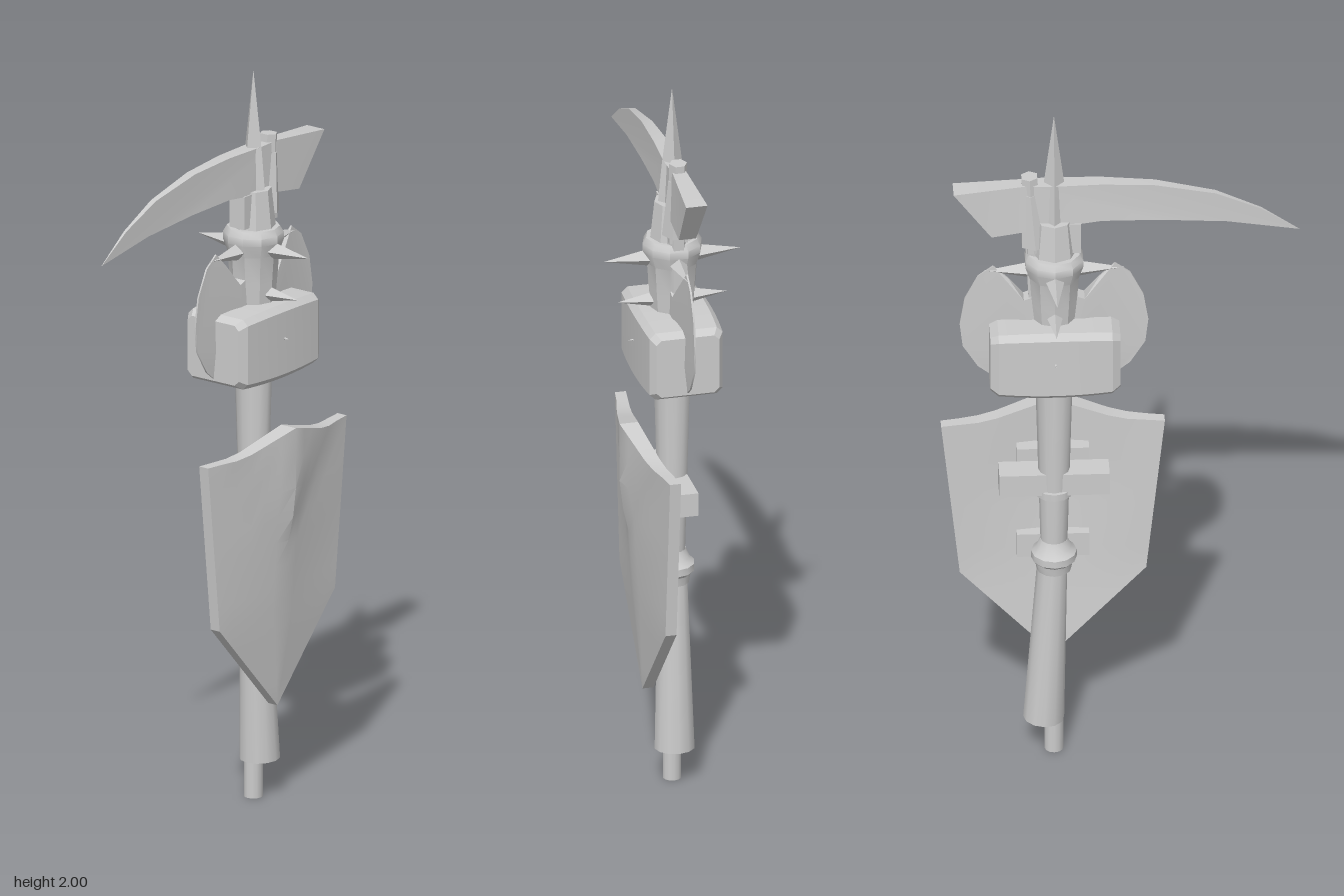
import * as THREE from 'three';
import { toCreasedNormals } from 'three/addons/utils/BufferGeometryUtils.js';

const AX = 0.175; // x of the common shaft axis

export function createModel() {
  const model = new THREE.Group();
  const mat = new THREE.MeshStandardMaterial({ color: 0xcccccc });

  function add(name, geo, x = 0, y = 0, z = 0, crease = 0.6) {
    const mesh = new THREE.Mesh(toCreasedNormals(geo, crease), mat);
    mesh.name = name;
    mesh.position.set(x, y, z);
    model.add(mesh);
    return mesh;
  }
  // Move every vertex of a geometry by a rule
  function warp(geo, rule) {
    const p = geo.attributes.position, v = new THREE.Vector3();
    for (let i = 0; i < p.count; i++) {
      v.fromBufferAttribute(p, i);
      rule(v);
      p.setXYZ(i, v.x, v.y, v.z);
    }
    geo.computeVertexNormals();
    return geo;
  }
  // Tapered rod between two points
  function rod(name, a, b, ra, rb, sides = 12) {
    const from = new THREE.Vector3(...a), dir = new THREE.Vector3(...b).sub(from);
    const mesh = add(name, new THREE.CylinderGeometry(rb, ra, dir.length(), sides));
    mesh.position.copy(from).addScaledVector(dir, 0.5);
    mesh.quaternion.setFromUnitVectors(new THREE.Vector3(0, 1, 0), dir.normalize());
    return mesh;
  }
  const lathe = (pts, sides) =>
    new THREE.LatheGeometry(pts.map(([r, y]) => new THREE.Vector2(r, y)), sides);
  const outline = pts => new THREE.Shape(pts.map(([x, y]) => new THREE.Vector2(x, y)));

  // Shafts, grip and collar
  rod('coreShaft', [AX, 0, 0], [AX, 1.65, 0], 0.025, 0.025);
  rod('grip', [0.202, 0.1, 0], [0.18, 0.58, 0], 0.054, 0.04);
  rod('upperShaft', [AX, 0.6, 0], [AX, 1.2, 0], 0.034, 0.05);
  rod('scytheShaft', [0.205, 1.2, 0], [0.24, 1.81, 0], 0.03, 0.024, 6);
  add('collar', lathe([[0, 0.57], [0.046, 0.57], [0.05, 0.595], [0.06, 0.605],
    [0.06, 0.625], [0.046, 0.64], [0.036, 0.665], [0, 0.665]], 12), AX);

  // Crossguard and shield straps
  add('crossguard', new THREE.BoxGeometry(0.29, 0.065, 0.07), AX, 0.852, 0);
  add('guardRing', new THREE.CylinderGeometry(0.05, 0.05, 0.02, 12), AX, 0.82, 0);
  for (const y of [0.61, 0.88])
    add('shieldStrap', new THREE.BoxGeometry(0.19, 0.07, 0.04), AX, y, 0.065);

  // Shield: a slab tapered to a point, folded along its middle
  const shield = warp(new THREE.BoxGeometry(2, 1, 2, 12, 11, 1), v => {
    const u = v.x, t = v.y + 0.5, a = Math.abs(u), k = 4 / 11;
    const half = t < k ? 0.245 * t / k : 0.245 + 0.049 * (t - k) / (1 - k);
    const y = 0.265 + 0.725 * t;
    const crown = 0.05 * Math.max(0, 1 - a * 1.7) * THREE.MathUtils.smoothstep(t, 0.7, 1);
    const dip = 0.02 * (1 - THREE.MathUtils.smoothstep(y - 0.25 * a, 0.74, 0.84)) * (1 - a);
    const crest = 0.1 + 0.042 * Math.min(1, t * 1.4);
    const front = crest - dip - (crest - 0.08) * a;
    const back = Math.max(0.05, crest - 0.05 - (crest - 0.1) * a);
    v.set(AX + u * half, y + crown, v.z > 0 ? front : back);
  });
  add('shield', shield, 0, 0, 0, 0.5);

  // Hammer head: chamfered block, slightly swollen in the middle
  const hammer = warp(new THREE.CylinderGeometry(1, 1, 2, 8, 16, false, Math.PI / 8), v => {
    const end = Math.max(0, Math.abs(v.y) - 0.875) / 0.125;
    const half = 0.105 - 0.008 * v.y * v.y - 0.012 * end;
    const square = c => Math.abs(c) < 0.01 ? 0 : Math.sign(c) * (Math.abs(c) > 0.6 ? 1 : 0.84) * half;
    v.set(v.y * 0.171, -square(v.x) * 0.97, square(v.z));
  });
  add('hammerHead', hammer, AX, 1.268, 0, 0.4);
  for (const s of [-1, 1]) {
    const pin = add('hammerPin', new THREE.ConeGeometry(0.006, 0.025, 6), AX, 1.28, s * 0.106);
    pin.rotation.x = s * Math.PI / 2;
  }

  // Double axe: blades thick at the root, thin at the edge
  const half = [[0.03, 1.45], [0.08, 1.43], [0.12, 1.49], [0.16, 1.53], [0.2, 1.5],
    [0.235, 1.43], [0.248, 1.35], [0.24, 1.28], [0.2, 1.215], [0.15, 1.175],
    [0.09, 1.15], [0.07, 1.25], [0.03, 1.25]];
  for (const s of [-1, 1]) {
    const geo = new THREE.ExtrudeGeometry(outline(half), { depth: 0.04, bevelEnabled: false });
    warp(geo, v => {
      v.z = (v.z - 0.02) * (v.x < 0.085 ? 1 : 0.12);
    });
    const blade = add('axeBlade', geo, AX);
    if (s < 0) blade.rotation.y = Math.PI;
  }

  // Mace head with two rows of spikes
  add('maceHead', lathe([[0, 1.34], [0.055, 1.34], [0.062, 1.42], [0.068, 1.5],
    [0.08, 1.535], [0.08, 1.555], [0.07, 1.572], [0, 1.575]], 10), AX);
  for (const [y, reach, r] of [[1.515, 0.185, 0.026], [1.393, 0.148, 0.02]])
    for (let i = 0; i < 4; i++) {
      const a = i * Math.PI / 2, dx = Math.sin(a), dz = Math.cos(a);
      rod('maceSpike', [AX + dx * 0.055, y, dz * 0.055],
        [AX + dx * reach, y, dz * reach], r, 0, 4);
    }

  // Spear head and its socket
  add('spearSocket', new THREE.CylinderGeometry(0.048, 0.06, 0.11, 8), AX, 1.62, 0);
  add('headBlock', new THREE.BoxGeometry(0.14, 0.09, 0.05), AX, 1.625, 0);
  add('spearHead', lathe([[0, 1.59], [0.046, 1.59], [0.028, 1.78], [0, 2]], 4), AX);

  // Scythe blade: tapers to nothing at the tip, flares at the butt
  const blade = new THREE.ExtrudeGeometry(outline([[-0.47, 1.62], [-0.28, 1.655],
    [-0.1, 1.67], [0.05, 1.675], [0.18, 1.66], [0.24, 1.65], [0.34, 1.635], [0.44, 1.775],
    [0.25, 1.79], [0.18, 1.79], [0.05, 1.79], [-0.09, 1.78], [-0.25, 1.745], [-0.37, 1.69]]),
    { depth: 1, bevelEnabled: false });
  warp(blade, v => {
    const t = v.x < 0.2 ? 0.001 + 0.047 * (v.x + 0.47) / 0.67
      : 0.036 + 0.022 * (v.x - 0.24) / 0.2;
    v.z = (v.z - 0.5) * t;
  });
  add('scytheBlade', blade);
  rod('scytheSocket', [0.225, 1.6, 0], [0.238, 1.76, 0], 0.04, 0.026, 6);

  return model;
}
